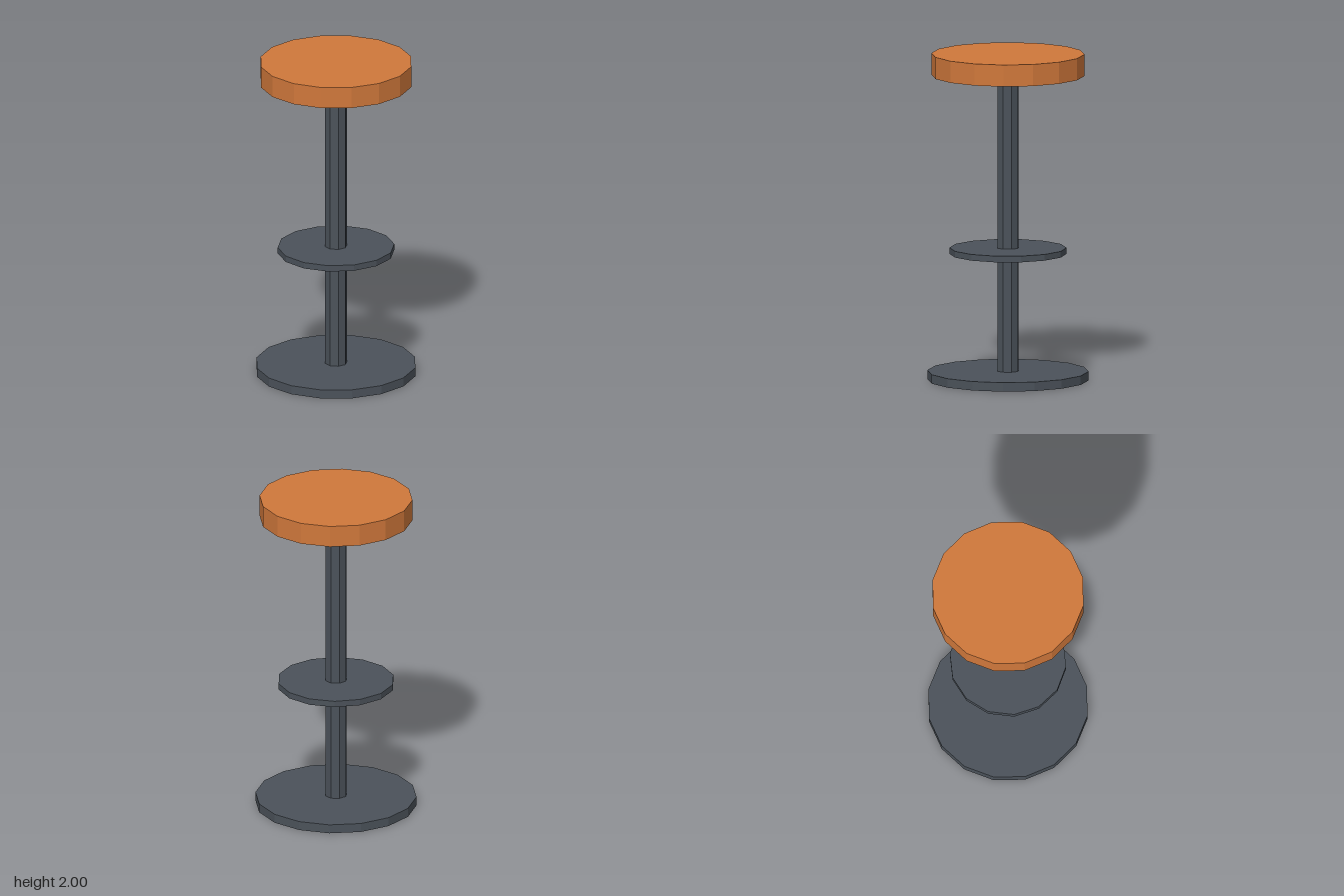
import * as THREE from 'three';

export function createModel() {
  const group = new THREE.Group();
  group.name = 'barStool';

  const wood = new THREE.MeshStandardMaterial({ color: 0xd0783b, flatShading: true });
  wood.name = 'orange wood';
  const metal = new THREE.MeshStandardMaterial({ color: 0x4b525a, flatShading: true });
  metal.name = 'dark grey metal';

  // Upright faceted disc or column between two heights
  const addDisc = (name, radius, bottom, top, sides, material) => {
    const height = top - bottom;
    const mesh = new THREE.Mesh(new THREE.CylinderGeometry(radius, radius, height, sides), material);
    mesh.name = name;
    mesh.position.y = bottom + height / 2;
    group.add(mesh);
  };

  addDisc('base', 0.49, 0, 0.055, 16, metal);
  addDisc('post', 0.068, 0.05, 1.87, 8, metal);
  addDisc('footrest', 0.355, 0.772, 0.81, 14, metal);
  addDisc('seat', 0.465, 1.867, 2, 16, wood);

  return group;
}
